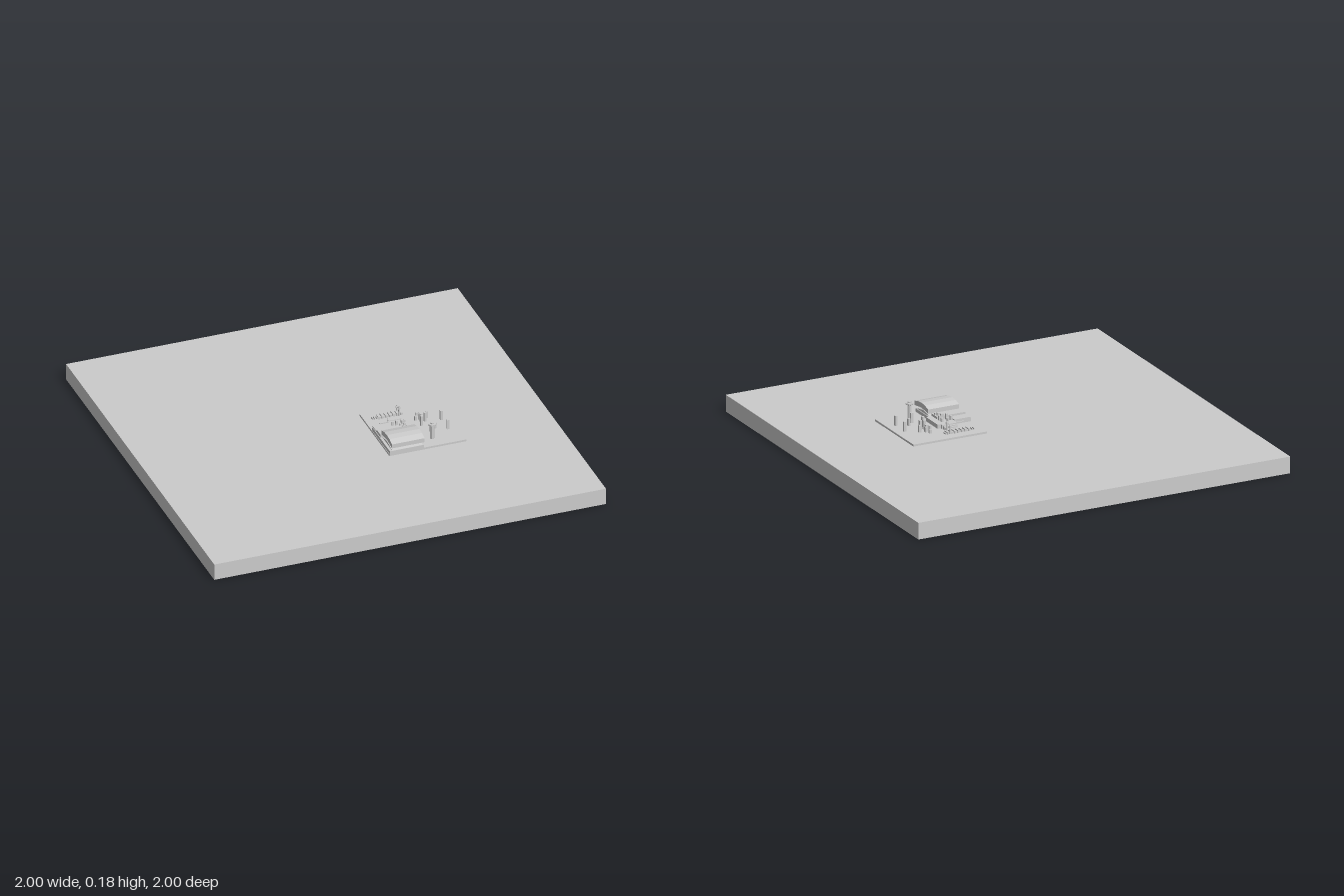
import * as THREE from 'three';

const mat = new THREE.MeshStandardMaterial({ color: 0xcccccc, flatShading: true, side: THREE.DoubleSide });

export function createModel() {
  const root = new THREE.Group();
  const add = (name, geo, parent = root) => {
    const m = new THREE.Mesh(geo, mat);
    m.name = name;
    parent.add(m);
    return m;
  };
  const group = (name) => {
    const g = new THREE.Group();
    g.name = name;
    root.add(g);
    return g;
  };
  // box given by its limits on each axis
  const box = (name, x0, x1, y0, y1, z0, z1, parent) => {
    const m = add(name, new THREE.BoxGeometry(x1 - x0, y1 - y0, z1 - z0), parent);
    m.position.set((x0 + x1) / 2, (y0 + y1) / 2, (z0 + z1) / 2);
    return m;
  };
  // [z, y] outline extruded along x
  const prism = (name, pts, x0, x1, parent) => {
    const s = new THREE.Shape(pts.map(([z, y]) => new THREE.Vector2(-z, y)));
    const geo = new THREE.ExtrudeGeometry(s, { depth: x1 - x0, bevelEnabled: false });
    geo.rotateY(Math.PI / 2).translate(x0, 0, 0);
    return add(name, geo, parent);
  };

  // Ground slab: top and four walls, open underneath
  const slab = group('groundSlab');
  const H = 0.085;
  const top = add('groundTop', new THREE.PlaneGeometry(2, 2).rotateX(-Math.PI / 2), slab);
  top.position.y = H;
  for (let i = 0; i < 4; i++) {
    add('groundWall', new THREE.PlaneGeometry(2, H).translate(0, H / 2, 1).rotateY(i * Math.PI / 2), slab);
  }

  // Raised plot
  const P = 0.095;
  box('plot', 0.14, 0.535, 0.082, P, -0.05, 0.35);

  // Main hall: base, tapering glazing and gently pitched roof
  const hall = group('hall');
  box('hallBase', 0.142, 0.315, P, 0.112, 0.2, 0.352, hall);
  prism('hallPlinth', [[0.35, 0.112], [0.28, 0.126], [0.215, 0.112]], 0.155, 0.31, hall);
  box('hallCore', 0.17, 0.3, 0.11, 0.14, 0.265, 0.3, hall);
  prism('hallRoof', [[0.355, 0.128], [0.285, 0.138], [0.215, 0.128], [0.215, 0.15],
    [0.25, 0.16], [0.285, 0.163], [0.32, 0.16], [0.355, 0.15]], 0.152, 0.318, hall);

  // Low rear wing with a chamfered inner corner
  const wing = group('rearWing');
  const plan = new THREE.Shape([[0.142, -0.215], [0.325, -0.215], [0.325, -0.12], [0.305, -0.085],
    [0.235, -0.085], [0.225, -0.112], [0.142, -0.112]].map(([x, y]) => new THREE.Vector2(x, y)));
  add('wingBase', new THREE.ExtrudeGeometry(plan, { depth: 0.018, bevelEnabled: false })
    .rotateX(-Math.PI / 2), wing).position.y = P;
  box('wingBlock', 0.145, 0.3, P, 0.128, 0.16, 0.215, wing);
  box('wingLedge', 0.145, 0.23, P, 0.118, 0.112, 0.16, wing);
  box('sideWalk', 0.3, 0.332, P, 0.116, 0.09, 0.21, wing);
  box('wingRail', 0.19, 0.235, 0.108, 0.113, 0.087, 0.093, wing);

  // Entrance steps descending to the rear
  const steps = group('steps');
  for (let i = 0; i < 4; i++) {
    box('step', 0.235 + i * 0.004, 0.315 - i * 0.004, P, 0.116 - i * 0.005, 0.075 - i * 0.01, 0.09 - i * 0.01, steps);
  }

  // Small stacks clustered on the wing
  const stacks = group('roofStacks');
  [[0.24, 0.13, 0.134], [0.262, 0.12, 0.13], [0.29, 0.125, 0.132], [0.255, 0.145, 0.143], [0.28, 0.15, 0.145],
    [0.295, 0.142, 0.14], [0.265, 0.165, 0.138], [0.285, 0.175, 0.142], [0.275, 0.19, 0.136], [0.292, 0.192, 0.138]]
    .forEach(([x, z, y]) => box('stack', x - 0.005, x + 0.005, P, y, z - 0.005, z + 0.005, stacks));

  // Low slatted bench strip along the back, with two lamp posts
  const bench = group('slattedStrip');
  box('stripBeam', 0.2, 0.335, P, 0.102, 0.002, 0.022, bench);
  for (let i = 0; i < 7; i++) {
    const x = 0.205 + i * 0.019;
    box('slat', x, x + 0.009, P, 0.108, -0.004, 0.028, bench);
  }
  for (const x of [0.18, 0.19]) box('endPin', x - 0.002, x + 0.002, P, 0.103, 0.002, 0.022, bench);
  for (const [z, h] of [[0.03, 0.15], [0, 0.138]]) {
    box('lampPost', 0.308, 0.314, P, h, z - 0.003, z + 0.003, bench);
    box('lampHead', 0.305, 0.317, h - 0.012, h - 0.006, z - 0.006, z + 0.006, bench);
  }

  // Free-standing posts, sunk through the plot
  const posts = group('posts');
  [[0.39, 0.055, 0.112], [0.4, 0.08, 0.12], [0.37, 0.095, 0.118], [0.39, 0.095, 0.125], [0.428, 0.09, 0.13],
    [0.39, 0.118, 0.14], [0.41, 0.118, 0.143], [0.38, 0.15, 0.147], [0.487, 0.133, 0.145], [0.432, 0.195, 0.13],
    [0.402, 0.224, 0.145], [0.487, 0.224, 0.145]]
    .forEach(([x, z, y]) => box('post', x - 0.006, x + 0.006, 0.055, y, z - 0.006, z + 0.006, posts));

  // Hexagonal lookout tower with a wide cap
  const profile = [[0, 0.06], [0.011, 0.06], [0.011, 0.165], [0.022, 0.17], [0.022, 0.177], [0.01, 0.177],
    [0.01, 0.183], [0, 0.183]].map(([r, y]) => new THREE.Vector2(r, y));
  add('tower', new THREE.LatheGeometry(profile, 6, Math.PI / 6)).position.set(0.385, 0, 0.28);

  return root;
}
